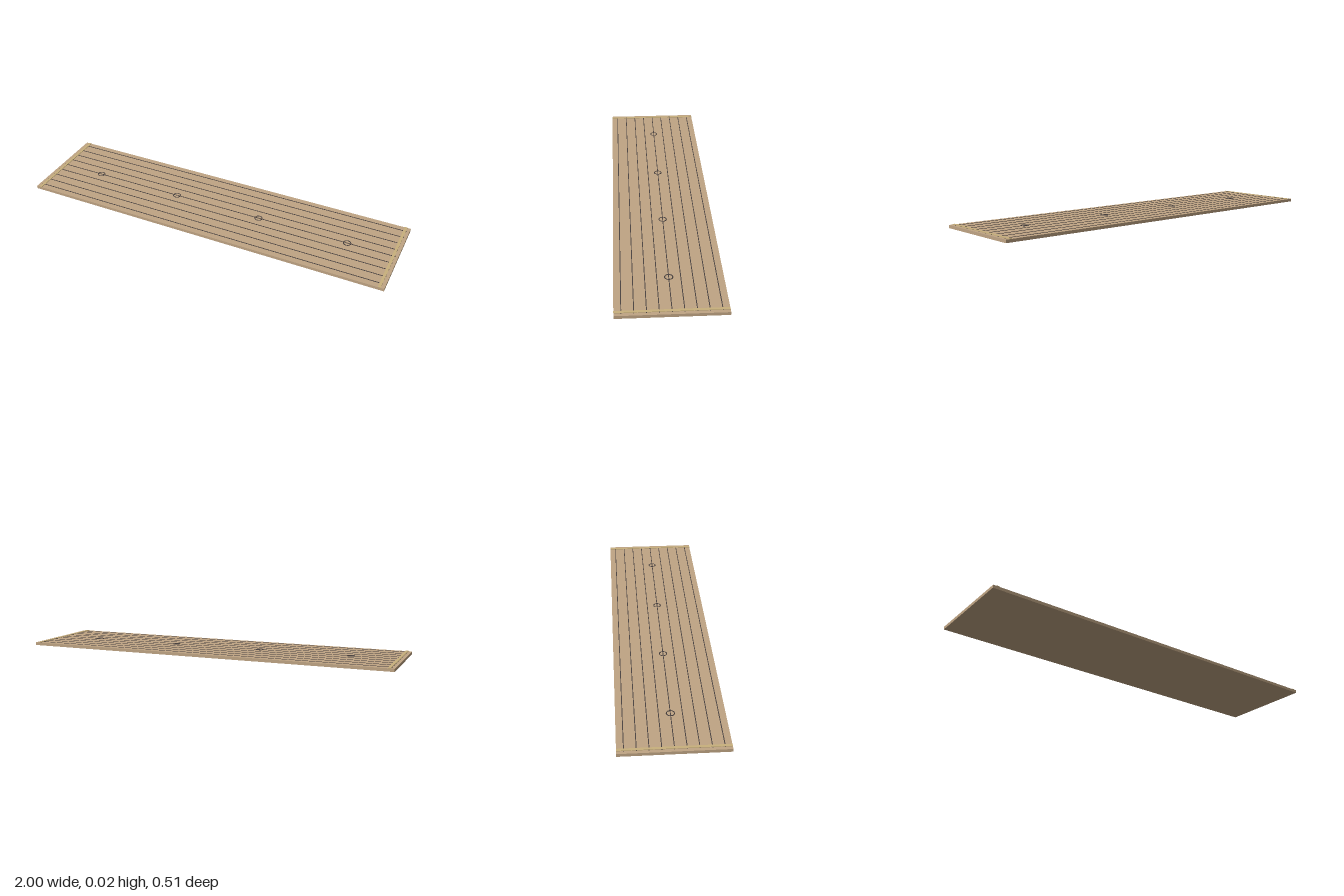
import * as THREE from 'three';

export function createModel() {
  const model = new THREE.Group();
  const wood = new THREE.MeshStandardMaterial({ color: 0xc0a584 });
  const trim = new THREE.MeshStandardMaterial({ color: 0xc8b07c });
  const dark = new THREE.MeshStandardMaterial({ color: 0x4a4240 });

  const add = (name, geometry, material, x, y, z) => {
    const mesh = new THREE.Mesh(geometry, material);
    mesh.name = name;
    mesh.position.set(x, y, z);
    model.add(mesh);
    return mesh;
  };

  // Flat deck slab
  add('deck', new THREE.BoxGeometry(2, 0.0155, 0.512), wood, 0, 0.00775, 0);

  // Dark seams between the planks
  const seam = new THREE.BoxGeometry(1.97, 0.003, 0.004);
  for (let i = -4; i <= 4; i++) add('plankSeam', seam, dark, 0, 0.0155, i * 0.0558);

  // Raised strips across both ends
  const strip = new THREE.BoxGeometry(0.014, 0.003, 0.512);
  for (const side of [-1, 1]) add('endStrip', strip, trim, side * 0.975, 0.0166, 0);

  // Rings along the centre line
  const ring = new THREE.TorusGeometry(0.019, 0.0025, 8, 32);
  ring.rotateX(Math.PI / 2);
  for (const x of [-0.735, -0.245, 0.245, 0.735]) add('deckRing', ring, dark, x, 0.0155, 0);

  return model;
}
